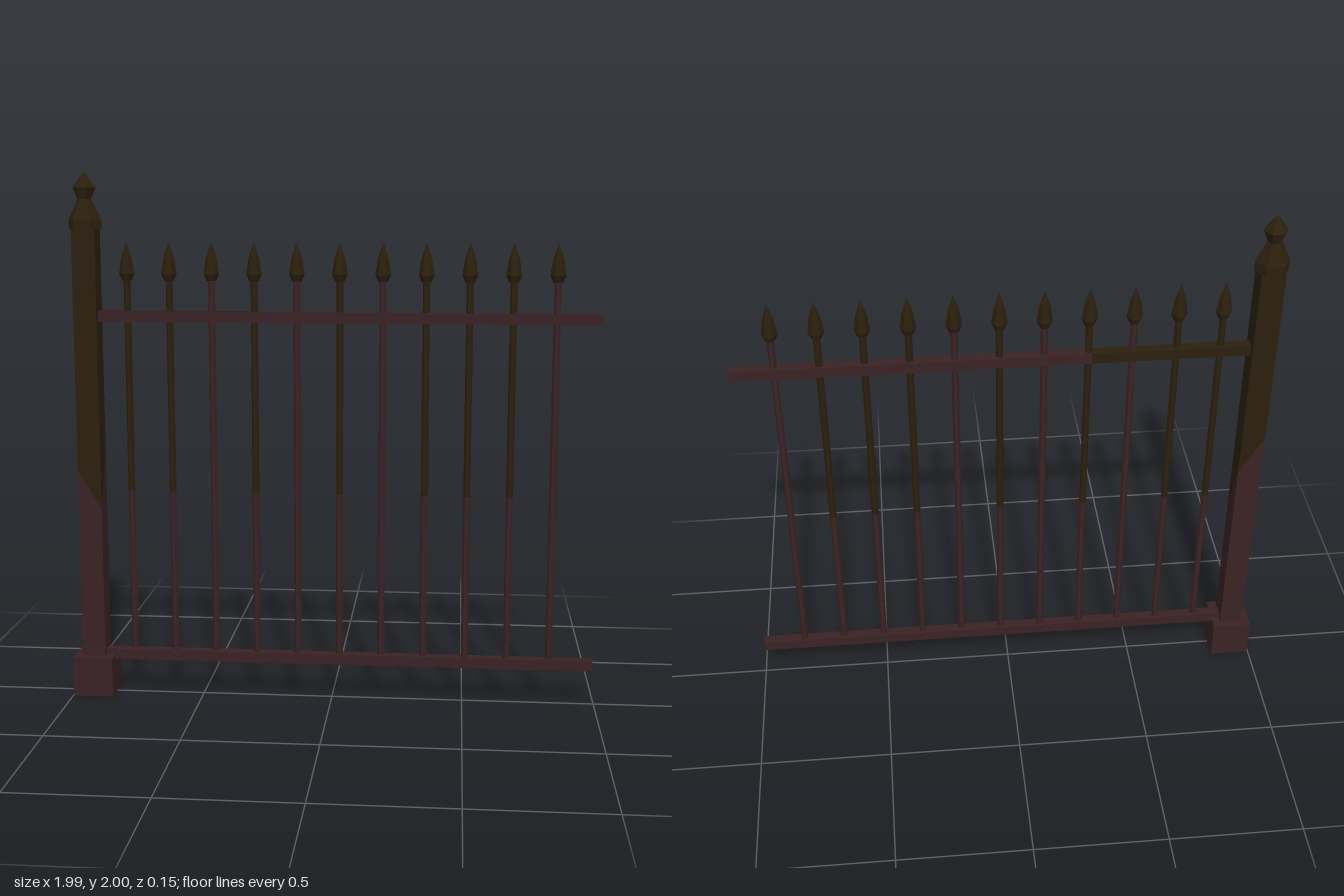
import * as THREE from 'three';

export function createModel() {
  const brown = new THREE.MeshStandardMaterial({ color: 0x3a2224 });
  brown.name = 'red brown iron';
  const olive = new THREE.MeshStandardMaterial({ color: 0x2b200e });
  olive.name = 'olive iron';

  const fence = new THREE.Group();
  fence.name = 'fence';

  function add(name, geometry, material, x, y, z = 0, parent = fence) {
    const mesh = new THREE.Mesh(geometry, material);
    mesh.name = name;
    mesh.position.set(x, y, z);
    parent.add(mesh);
    return mesh;
  }

  // Six-sided faceted turning, corners pointing along x
  function faceted(profile) {
    const points = profile.map(([r, y]) => new THREE.Vector2(r, y));
    const geometry = new THREE.LatheGeometry(points, 6, Math.PI / 2).toNonIndexed();
    geometry.computeVertexNormals();
    return geometry;
  }

  // Post: two lengths meeting at a slanted colour break
  const postX = -0.92, postW = 0.088, baseTop = 0.153, postTop = 1.79;
  const breakY = (x, z) => 0.91 - 1.7 * x - 2.3 * z;
  function postLength(atTop) {
    const geometry = new THREE.BoxGeometry(postW, 1, postW);
    const p = geometry.attributes.position;
    for (let i = 0; i < p.count; i++) {
      const slanted = (p.getY(i) > 0) !== atTop;
      p.setY(i, slanted ? breakY(p.getX(i), p.getZ(i)) : atTop ? postTop : baseTop);
    }
    geometry.computeVertexNormals();
    return geometry;
  }
  add('postBase', new THREE.BoxGeometry(0.152, baseTop, 0.152), brown, postX, baseTop / 2);
  add('postLower', postLength(false), brown, postX, 0);
  add('postUpper', postLength(true), [olive, brown, olive, olive, olive, olive], postX, 0);

  // Finial on the post
  add('postFinial', faceted([
    [0, 1.787], [0.062, 1.787], [0.062, 1.825], [0.026, 1.9], [0.043, 1.942], [0, 2],
  ]), olive, postX, 0);

  // Rails; the upper one changes colour on its top and back near the post
  const railStart = -0.9, railEnd = 0.99, railBreak = -0.3;
  function rail(name, from, to, y, material) {
    add(name, new THREE.BoxGeometry(to - from, 0.04, 0.04), material, (from + to) / 2, y);
  }
  rail('lowerRail', railStart, railEnd, 0.155, brown);
  rail('upperRailNearPost', railStart, railBreak, 1.467, [brown, brown, olive, brown, brown, olive]);
  rail('upperRail', railBreak, railEnd, 1.467, brown);

  // Pickets with spear heads
  const bottom = 0.13, middle = 0.8, top = 1.61;
  const headGeometry = faceted([
    [0, 1.6], [0.018, 1.6], [0.029, 1.625], [0.02, 1.685], [0, 1.745],
  ]);
  function rod(y0, y1) {
    return faceted([[0, y0], [0.013, y0], [0.013, y1], [0, y1]]);
  }
  const lowerRod = rod(bottom, middle);
  const upperRod = rod(middle, top);
  const brownPickets = [2, 4, 6, 10];
  for (let i = 0; i < 11; i++) {
    const picket = new THREE.Group();
    picket.name = 'picket' + (i + 1);
    picket.position.x = -0.767 + i * 0.1593;
    add('lowerRod', lowerRod, brown, 0, 0, 0, picket);
    add('upperRod', upperRod, brownPickets.includes(i) ? brown : olive, 0, 0, 0, picket);
    add('spearHead', headGeometry, olive, 0, 0, 0, picket);
    fence.add(picket);
  }
  return fence;
}
